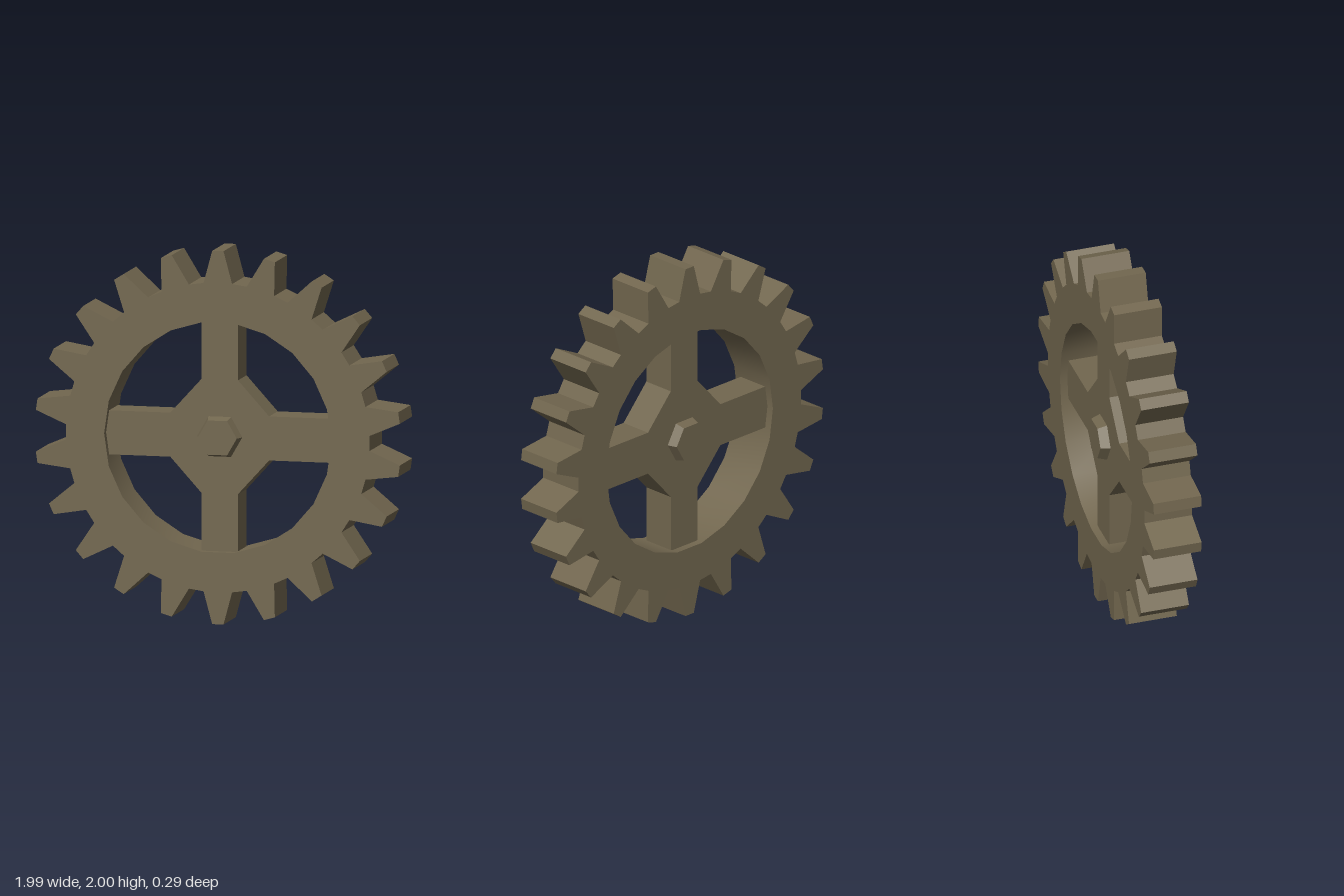
import * as THREE from 'three';
import { toCreasedNormals } from 'three/addons/utils/BufferGeometryUtils.js';

const TEETH = 22;
const STEP = (Math.PI * 2) / TEETH;

// Extrude a shape symmetrically about z = 0
function slab(shape, halfDepth) {
  const geo = new THREE.ExtrudeGeometry(shape, { depth: halfDepth * 2, bevelEnabled: false });
  return geo.translate(0, 0, -halfDepth);
}

// Toothed rim outline with a 22-sided hole
function rimShape() {
  const outline = [];
  const hole = [];
  const profile = [[-0.078, 0.826], [-0.031, 1], [0.031, 1], [0.078, 0.826]];
  const origin = new THREE.Vector2();
  for (let i = 0; i < TEETH; i++) {
    for (const [x, y] of profile) {
      outline.push(new THREE.Vector2(x, y).rotateAround(origin, -i * STEP));
    }
    hole.push(new THREE.Vector2(0, 0.621).rotateAround(origin, (i + 0.5) * STEP));
  }
  const shape = new THREE.Shape(outline);
  shape.holes.push(new THREE.Path(hole));
  return shape;
}

// Four spokes joined by a wide diamond centre
function spokeShape() {
  const quarter = [[0.62, 0.118], [0.27, 0.118], [0.1, 0.305], [0.1, 0.616]];
  const points = [];
  for (const [sx, sy] of [[1, 1], [-1, 1], [-1, -1], [1, -1]]) {
    const corner = quarter.map(([x, y]) => new THREE.Vector2(x * sx, y * sy));
    if (sx * sy < 0) corner.reverse();
    points.push(...corner);
  }
  return new THREE.Shape(points);
}

export function createModel() {
  const wood = new THREE.MeshStandardMaterial({ color: 0x72674f });
  wood.name = 'brown';
  const model = new THREE.Group();
  model.name = 'gearWheel';

  const add = (name, geometry) => {
    const mesh = new THREE.Mesh(geometry, wood);
    mesh.name = name;
    mesh.position.y = 1;
    model.add(mesh);
    return mesh;
  };

  add('toothedRim', toCreasedNormals(slab(rimShape(), 0.133), 0.35));
  add('spokes', slab(spokeShape(), 0.092));

  // Tapered hexagonal axle ends, one on each side
  for (const side of [1, -1]) {
    const hex = new THREE.CylinderGeometry(0.106, 0.125, 0.056, 6).toNonIndexed();
    hex.computeVertexNormals();
    hex.rotateY(Math.PI / 6).rotateX(side * Math.PI / 2);
    const cap = add(side > 0 ? 'frontAxleEnd' : 'backAxleEnd', hex);
    cap.position.z = side * 0.115;
  }
  return model;
}
